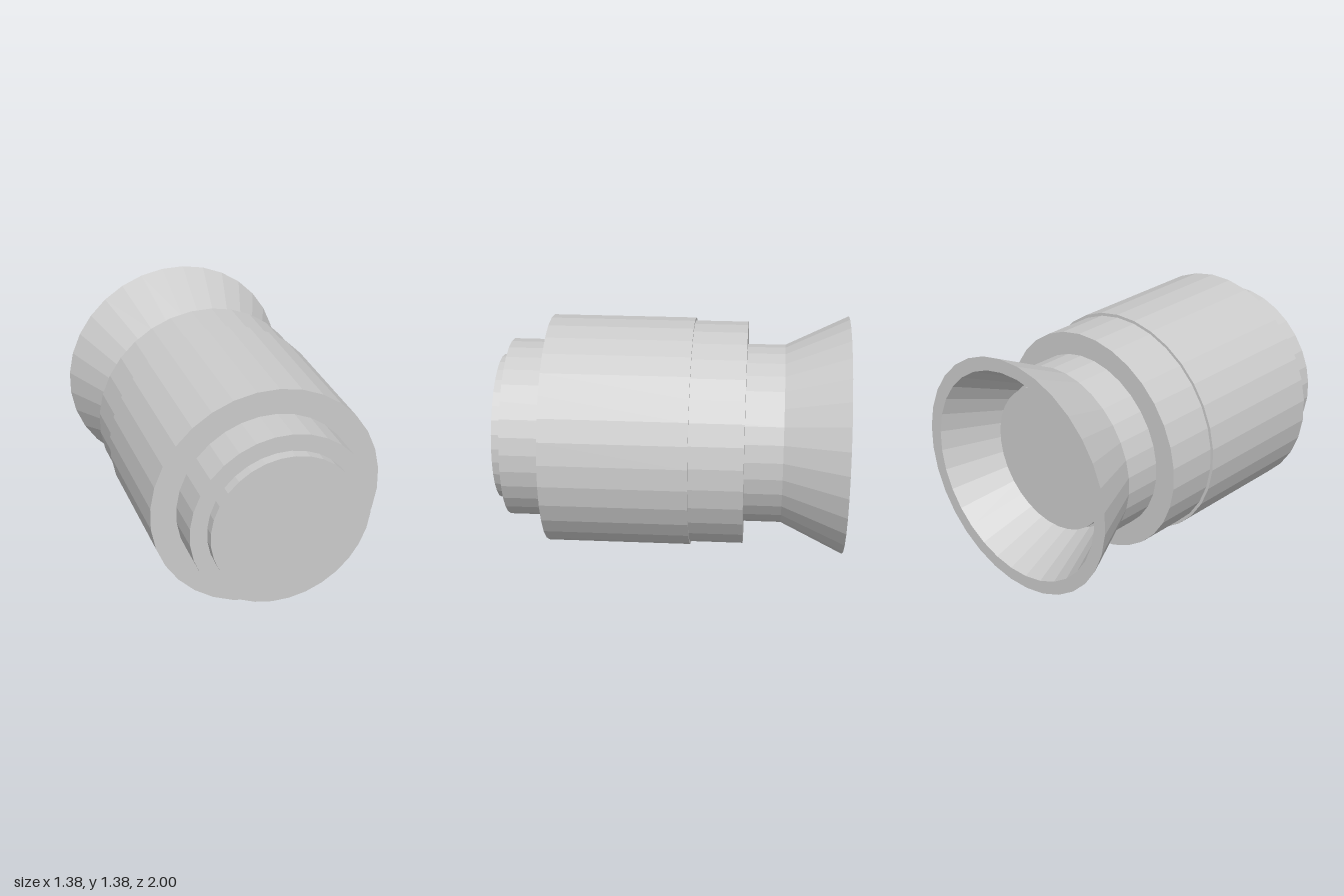
import * as THREE from 'three';

const SIDES = 32;
const HALF = Math.PI / SIDES;
const FIT = 1 / Math.cos(HALF); // flats, not corners, touch the given radius

export function createModel() {
  const model = new THREE.Group();
  const material = new THREE.MeshStandardMaterial({ color: 0xcccccc, flatShading: true });

  // All parts are turned about y, then laid along z on the common axis
  const axis = new THREE.Group();
  axis.name = 'barrelAssembly';
  axis.rotation.x = Math.PI / 2;
  axis.position.y = 0.6875;
  model.add(axis);

  function addPart(name, geometry) {
    const mesh = new THREE.Mesh(geometry, material);
    mesh.name = name;
    axis.add(mesh);
  }

  // Closed drum between two z positions
  function drum(name, radius, back, front) {
    const g = new THREE.CylinderGeometry(radius * FIT, radius * FIT, front - back, SIDES, 1, false, HALF);
    g.translate(0, (front + back) / 2, 0);
    addPart(name, g);
  }

  drum('core', 0.42, -0.72, 1);
  drum('innerSleeve', 0.515, -0.64, 0.94);
  drum('mainBody', 0.66, -0.12, 0.705);
  drum('rearCollar', 0.643, -0.425, -0.12);

  // Flared hollow bell with a thick rim, around the end of the core
  const bell = [[0.44, -0.64], [0.61, -1], [0.6875, -1], [0.515, -0.64]]
    .map(([r, z]) => new THREE.Vector2(r * FIT, z));
  addPart('flaredBell', new THREE.LatheGeometry(bell, SIDES, HALF));

  return model;
}
